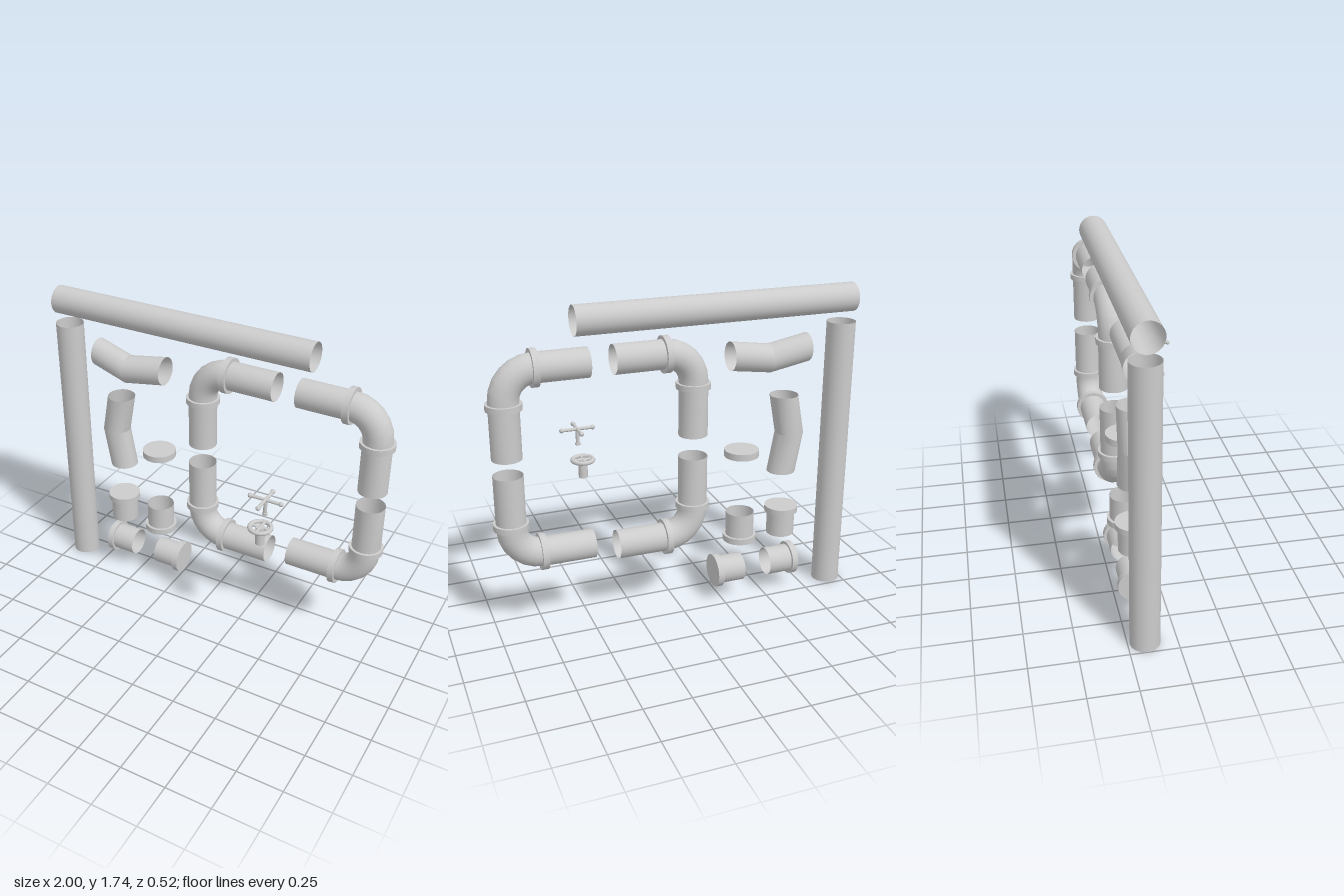
import * as THREE from 'three';
import { toCreasedNormals } from 'three/addons/utils/BufferGeometryUtils.js';

const SIDES = 32, R = 0.077, Z = -0.162;
const HALF = Math.PI / 2;

export function createModel() {
  const model = new THREE.Group();
  const mat = new THREE.MeshStandardMaterial({ color: 0xcccccc, side: THREE.DoubleSide });

  function add(parent, name, geo, x = 0, y = 0, z = 0) {
    const mesh = new THREE.Mesh(geo, mat);
    mesh.name = name;
    mesh.position.set(x, y, z);
    parent.add(mesh);
    return mesh;
  }

  function group(name, x = 0, y = 0, z = 0) {
    const g = new THREE.Group();
    g.name = name;
    g.position.set(x, y, z);
    model.add(g);
    return g;
  }

  // Open thin pipe through rings [x, y, z, heading in the xy plane]
  function pipe(rings) {
    const pos = [], index = [];
    rings.forEach(([x, y, z, a], i) => {
      for (let j = 0; j < SIDES; j++) {
        const t = (j / SIDES) * Math.PI * 2, c = R * Math.cos(t);
        pos.push(x - Math.sin(a) * c, y + Math.cos(a) * c, z + R * Math.sin(t));
        if (i === rings.length - 1) continue;
        const k = (j + 1) % SIDES, p = i * SIDES, q = p + SIDES;
        index.push(p + j, p + k, q + k, p + j, q + k, q + j);
      }
    });
    const geo = new THREE.BufferGeometry();
    geo.setAttribute('position', new THREE.Float32BufferAttribute(pos, 3));
    geo.setIndex(index);
    return toCreasedNormals(geo, 0.3);
  }

  // Flat-edged collar around a pipe, axis along y
  function collar(r, h) {
    const profile = [[R, -h / 2], [r, -h / 2], [r, h / 2], [R, h / 2]];
    const pts = profile.map(p => new THREE.Vector2(...p));
    return toCreasedNormals(new THREE.LatheGeometry(pts, SIDES), 0.5);
  }

  // Long straight pipes
  add(model, 'longUprightPipe', pipe([[-0.922, 0, Z, HALF], [-0.922, 1.535, Z, HALF]]));
  add(model, 'longLevelPipe', pipe([[-0.98, 1.662, Z, 0], [0.55, 1.662, Z, 0]]));

  // Slightly bent pipes
  add(model, 'bentLevelPipe', pipe([
    [-0.728, 1.409, -0.15, 0], [-0.52, 1.36, -0.125, 0], [-0.293, 1.395, -0.137, 0.03]]));
  add(model, 'bentUprightPipe', pipe([
    [-0.6, 0.722, Z, HALF], [-0.64, 0.945, Z, HALF], [-0.6, 1.16, Z, HALF]]));

  // Four elbows; sx, sy point from the corner along its two arms
  function elbow(name, vx, hy, sx, sy, endX, endY, collarY) {
    const g = group(name), bend = 0.154, steps = 6;
    const rings = [[vx, endY, Z, Math.atan2(-sy, 0)]];
    for (let i = 0; i <= steps; i++) {
      const f = (i / steps) * HALF, c = Math.cos(f), s = Math.sin(f);
      rings.push([vx + sx * bend * (1 - c), hy + sy * bend * (1 - s), Z, Math.atan2(-sy * c, sx * s)]);
    }
    rings.push([endX, hy, Z, sx > 0 ? 0 : Math.PI]);
    add(g, 'elbowPipe', pipe(rings));
    add(g, 'uprightCollar', collar(0.091, 0.032), vx, collarY, Z);
    add(g, 'levelCollar', collar(0.096, 0.034), vx + sx * bend, hy, Z).rotation.z = HALF;
  }
  elbow('elbowTopRight', -0.077, 1.45, 1, -1, 0.352, 1.0, 1.272);
  elbow('elbowTopLeft', 0.907, 1.45, -1, -1, 0.48, 1.0, 1.272);
  elbow('elbowBottomRight', -0.077, 0.433, 1, 1, 0.352, 0.882, 0.606);
  elbow('elbowBottomLeft', 0.907, 0.465, -1, 1, 0.48, 0.912, 0.639);

  // Short pipes closed by an end cap; the cap's outer face is the group origin
  function endCap(name, x, y, turn) {
    const g = group(name, x, y, Z);
    g.rotation.z = turn;
    add(g, 'cap', new THREE.CylinderGeometry(0.092, 0.092, 0.034, SIDES), 0, -0.017);
    add(g, 'capPipe', pipe([[0, -0.167, 0, HALF], [0, -0.03, 0, HALF]]));
  }
  endCap('capFacingUp', -0.612, 0.512, 0);
  endCap('capFacingDown', -0.36, 0.345, Math.PI);
  endCap('capFacingRight', -0.693, 0.17, HALF);
  endCap('capFacingLeft', -0.205, 0.17, -HALF);

  // Loose disc
  add(model, 'disc', new THREE.CylinderGeometry(0.094, 0.094, 0.037, SIDES), -0.36, 0.861, Z);

  // Cross-shaped valve handle
  const rod = (r, len) => new THREE.CylinderGeometry(r, r, len, 16);
  const cross = group('crossHandle', 0.461, 0.988, 0.16);
  add(cross, 'stem', rod(0.01, 0.09), 0, -0.045);
  add(cross, 'stemFoot', rod(0.014, 0.012), 0, -0.084);
  for (let i = 0; i < 4; i++) {
    const arm = new THREE.Group();
    arm.name = 'arm';
    arm.rotation.y = i * HALF;
    cross.add(arm);
    add(arm, 'armRod', rod(0.009, 0.09), 0.045).rotation.z = HALF;
    add(arm, 'armKnob', new THREE.SphereGeometry(0.013, 16, 10), 0.086);
  }

  // Round valve handle
  const wheel = group('wheelHandle', 0.437, 0.808, 0.157);
  add(wheel, 'rim', new THREE.TorusGeometry(0.056, 0.012, 12, 32)).rotation.x = HALF;
  add(wheel, 'stem', new THREE.CylinderGeometry(0.025, 0.025, 0.103, 24), 0, -0.0485);
  add(wheel, 'spokeAcross', rod(0.008, 0.11)).rotation.z = HALF;
  add(wheel, 'spokeForward', rod(0.008, 0.11)).rotation.x = HALF;

  return model;
}
